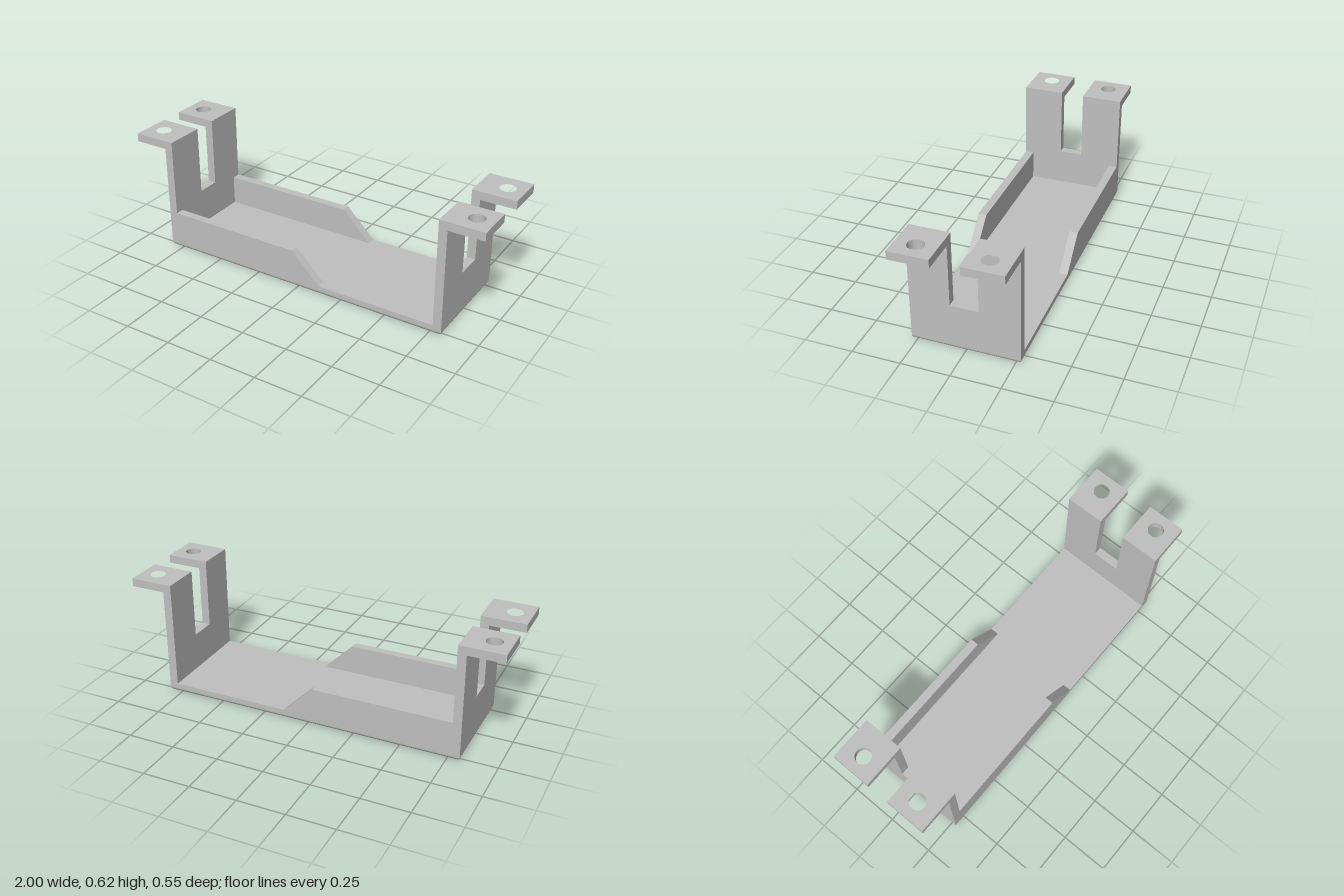
import * as THREE from 'three';
import { toCreasedNormals } from 'three/addons/utils/BufferGeometryUtils.js';

const OUT = 0.815, IN = 0.77, HZ = 0.277, R = 0.023; // wall faces, half depth, bottom fillet
const FLOOR = 0.048, SLOT = 0.248, UNDER = 0.576, TOP = 0.62;

function polygon(points) {
  return new THREE.Shape(points.map(([x, y]) => new THREE.Vector2(x, y)));
}

function extrude(shape, depth) {
  const g = new THREE.ExtrudeGeometry(shape, { depth, bevelEnabled: false, curveSegments: 32 });
  return toCreasedNormals(g, 0.5);
}

// Rounded underside: mitred quarter-round strips on four sides plus a flat cap
function undersideGeometry() {
  const pos = [], nor = [], idx = [], steps = 8;
  const corners = [[1, 1], [1, -1], [-1, -1], [-1, 1]];
  const dirs = [[1, 0], [0, -1], [-1, 0], [0, 1]];
  dirs.forEach(([dx, dz], side) => {
    const base = pos.length / 3;
    for (let k = 0; k <= steps; k++) {
      const a = (k / steps) * Math.PI / 2, c = Math.cos(a), s = Math.sin(a);
      const inset = R * (1 - c);
      for (const [cx, cz] of [corners[side], corners[(side + 1) % 4]]) {
        pos.push(cx * (OUT - inset), R * (1 - s), cz * (HZ - inset));
        nor.push(dx * c, -s, dz * c);
      }
      if (k < steps) {
        const i = base + k * 2;
        idx.push(i, i + 2, i + 1, i + 2, i + 3, i + 1);
      }
    }
  });
  const cap = pos.length / 3;
  for (const [cx, cz] of corners) {
    pos.push(cx * (OUT - R), 0, cz * (HZ - R));
    nor.push(0, -1, 0);
  }
  idx.push(cap, cap + 2, cap + 1, cap, cap + 3, cap + 2);
  const g = new THREE.BufferGeometry();
  g.setAttribute('position', new THREE.Float32BufferAttribute(pos, 3));
  g.setAttribute('normal', new THREE.Float32BufferAttribute(nor, 3));
  g.setIndex(idx);
  return g;
}

export function createModel() {
  const group = new THREE.Group();
  const grey = new THREE.MeshStandardMaterial({ color: 0xc0c0c0 });
  grey.name = 'light grey';

  function add(name, geometry, x = 0, y = 0, z = 0) {
    const mesh = new THREE.Mesh(geometry, grey);
    mesh.name = name;
    mesh.position.set(x, y, z);
    group.add(mesh);
  }

  add('underside', undersideGeometry());

  // Floor and the lower, unslotted part of both end walls
  add('tray', extrude(polygon([
    [-OUT, R], [OUT, R], [OUT, SLOT], [IN, SLOT],
    [IN, FLOOR], [-IN, FLOOR], [-IN, SLOT], [-OUT, SLOT],
  ]), 2 * HZ), 0, 0, -HZ);

  // Sloped side rails
  const rail = polygon([[-IN, FLOOR], [0.13, FLOOR], [-0.03, 0.207], [-IN, 0.207]]);
  const railDepth = 0.045;
  add('frontRail', extrude(rail, railDepth), 0, 0, HZ - railDepth);
  add('backRail', extrude(rail, railDepth), 0, 0, -HZ);

  // Slotted uprights with drilled mounting tabs
  for (const sx of [1, -1]) {
    const gap = sx > 0 ? 0.072 : 0.062;
    const width = HZ - gap;
    for (const sz of [1, -1]) {
      const name = (sx > 0 ? 'left' : 'right') + (sz > 0 ? 'Front' : 'Back');
      add(name + 'Upright', new THREE.BoxGeometry(OUT - IN, UNDER - SLOT, width),
        sx * (OUT + IN) / 2, (UNDER + SLOT) / 2, sz * (gap + width / 2));

      const tab = polygon([
        [sx * IN, sz * gap], [sx, sz * gap], [sx, sz * HZ], [sx * IN, sz * HZ],
      ]);
      const hole = new THREE.Path();
      hole.absarc(sx * 0.91, sz * (gap + HZ) / 2, 0.041, 0, Math.PI * 2, true);
      tab.holes.push(hole);
      add(name + 'Tab', extrude(tab, TOP - UNDER).rotateX(Math.PI / 2), 0, TOP, 0);
    }
  }
  return group;
}
